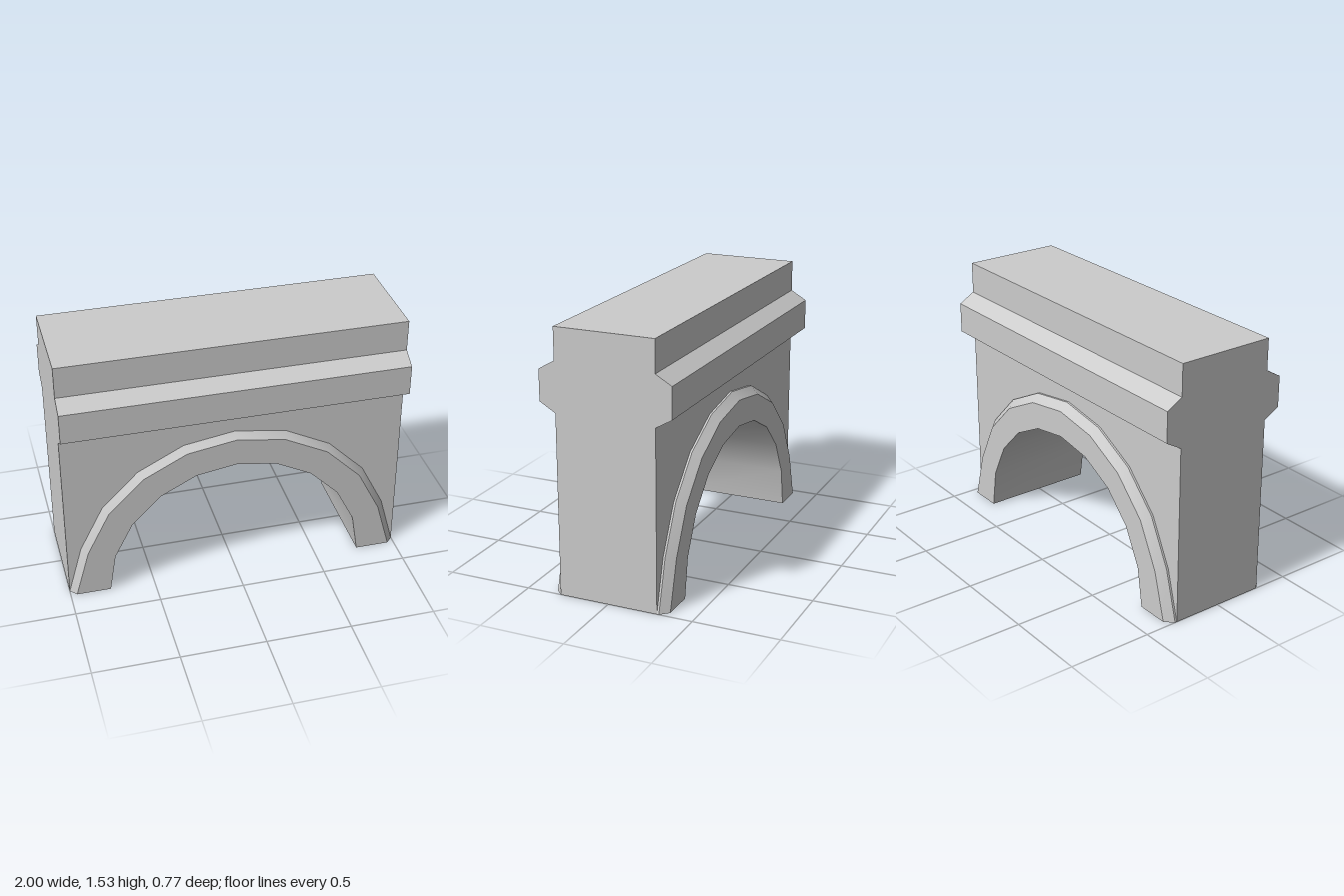
import * as THREE from 'three';
import { toCreasedNormals } from 'three/addons/utils/BufferGeometryUtils.js';

const material = new THREE.MeshStandardMaterial({ color: 0xcccccc, side: THREE.DoubleSide });
const WALL_TOP = 1.055;
const WALL_Z = 0.293;
const SEGMENTS = 10;

// Point on an arch; outer curves splay outward where they meet the ground
function archPoint(radius, i) {
  const a = (i / SEGMENTS) * Math.PI;
  let x = radius * Math.cos(a);
  if ((i === 0 || i === SEGMENTS) && radius > 0.8) x += 0.035 * Math.sign(x);
  return [x, radius * Math.sin(a)];
}

// Sweep a [radius, z] section around the arch
function archGeometry(section) {
  const positions = [];
  const index = [];
  const n = section.length;
  for (let i = 0; i <= SEGMENTS; i++) {
    for (const [r, z] of section) positions.push(...archPoint(r, i), z);
  }
  for (let i = 0; i < SEGMENTS; i++) {
    for (let j = 0; j < n - 1; j++) {
      const a = i * n + j, b = a + n;
      index.push(a, a + 1, b, b, a + 1, b + 1);
    }
  }
  const geometry = new THREE.BufferGeometry();
  geometry.setAttribute('position', new THREE.Float32BufferAttribute(positions, 3));
  geometry.setIndex(index);
  // Orient the surface so its faces point out of the stone
  const flipped = index.slice();
  for (let k = 0; k < flipped.length; k += 3) {
    [flipped[k + 1], flipped[k + 2]] = [flipped[k + 2], flipped[k + 1]];
  }
  geometry.setIndex(flipped);
  geometry.computeVertexNormals();
  // Inner curve must face the arch centre, otherwise restore the order
  const p = geometry.attributes.position, m = geometry.attributes.normal;
  const k = Math.floor(SEGMENTS / 2) * n + 2;
  if (p.getY(k) * m.getY(k) > 0) geometry.setIndex(index);
  return toCreasedNormals(geometry, 0.5);
}

export function createModel() {
  const group = new THREE.Group();
  group.name = 'archway';
  const add = (name, geometry) => {
    const mesh = new THREE.Mesh(geometry, material);
    mesh.name = name;
    group.add(mesh);
    return mesh;
  };

  // Front and back walls with the arch cut out
  const wall = new THREE.Shape();
  wall.moveTo(1, WALL_TOP);
  wall.lineTo(-1, WALL_TOP);
  for (let i = SEGMENTS; i >= 0; i--) wall.lineTo(...archPoint(0.965, i));
  wall.closePath();
  add('frontWall', new THREE.ShapeGeometry(wall)).position.z = WALL_Z;
  const back = add('backWall', new THREE.ShapeGeometry(wall));
  back.rotation.y = Math.PI;
  back.position.z = -WALL_Z;

  // End walls
  for (const side of [-1, 1]) {
    const end = add(side > 0 ? 'leftEndWall' : 'rightEndWall',
      new THREE.PlaneGeometry(2 * WALL_Z, WALL_TOP));
    end.position.set(side, WALL_TOP / 2, 0);
    end.rotation.y = side * Math.PI / 2;
  }

  // Parapet with the bevelled cornice on both sides
  const half = [[WALL_Z, WALL_TOP], [0.387, 1.11], [0.387, 1.29], [WALL_Z, 1.345], [WALL_Z, 1.53]];
  const mirrored = half.map(([z, y]) => [-z, y]).reverse();
  const profile = new THREE.Shape([...half, ...mirrored].map(([z, y]) => new THREE.Vector2(z, y)));
  const parapet = new THREE.ExtrudeGeometry(profile, { depth: 2, bevelEnabled: false });
  parapet.translate(0, 0, -1);
  parapet.rotateY(-Math.PI / 2);
  add('parapetAndCornice', parapet);

  // Raised arch band, chamfered front and back, with the vault between
  add('archBand', archGeometry([
    [0.965, WALL_Z], [0.928, 0.332], [0.762, 0.332],
    [0.762, -0.352], [0.92, -0.352], [0.965, -0.305], [0.965, -WALL_Z],
  ]));

  return group;
}
